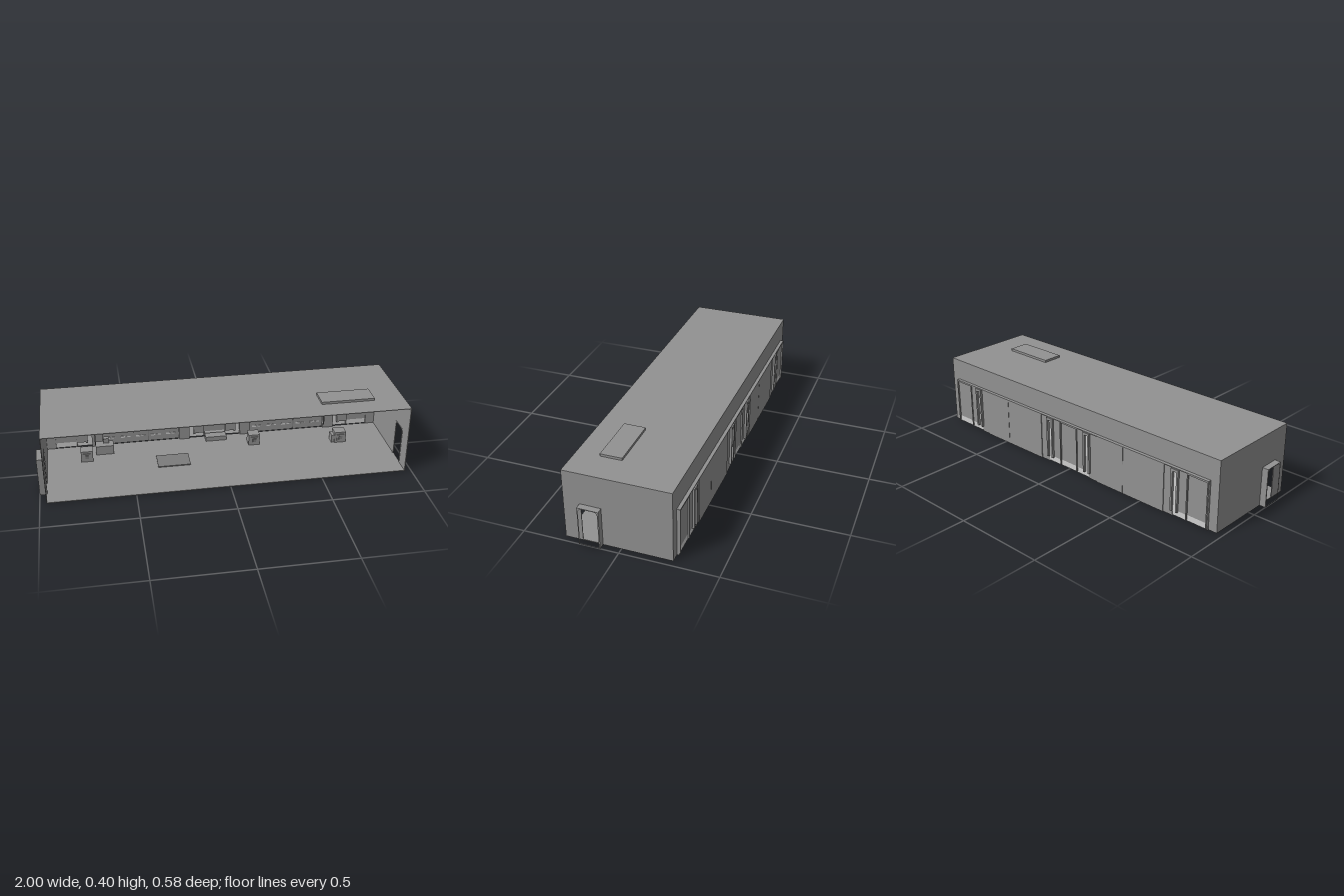
import * as THREE from 'three';

const mat = (name, color) => {
  const m = new THREE.MeshStandardMaterial({ color });
  m.name = name;
  return m;
};

export function createModel() {
  const root = new THREE.Group();
  root.name = 'hall';
  const grey = mat('wall grey', 0x929292);
  const dark = mat('fixture grey', 0x7c7c7c);
  const pale = mat('pale glass', 0xd0d0d0);

  // Box given by its limits on each axis
  const box = (name, m, x0, x1, y0, y1, z0, z1, parent = root) => {
    const mesh = new THREE.Mesh(new THREE.BoxGeometry(x1 - x0, y1 - y0, z1 - z0), m);
    mesh.position.set((x0 + x1) / 2, (y0 + y1) / 2, (z0 + z1) / 2);
    mesh.name = name;
    parent.add(mesh);
    return mesh;
  };
  const rod = (name, m, a, b, r) => {
    const path = new THREE.LineCurve3(new THREE.Vector3(...a), new THREE.Vector3(...b));
    const mesh = new THREE.Mesh(new THREE.TubeGeometry(path, 1, r, 6), m);
    mesh.name = name;
    root.add(mesh);
  };

  // Shell: floor, ceiling and upper back wall, open at the front
  box('floor', grey, -0.965, 0.965, 0, 0.004, -0.262, 0.29);
  box('ceiling', grey, -0.965, 0.965, 0.382, 0.385, -0.262, 0.29);
  box('upperBackWall', grey, -0.965, 0.965, 0.265, 0.385, -0.262, -0.259);
  for (const s of [-1, 1]) {
    box('backWallEnd', grey, s * 0.94 - 0.025, s * 0.94 + 0.025, 0, 0.265, -0.262, -0.259);
  }

  // Arch outline in (z, y), drawn from the floor up and over
  const arch = (target, half, top, r) => {
    const c = 0.15;
    target.moveTo(c - half, 0.004);
    target.lineTo(c - half, top - r);
    target.quadraticCurveTo(c - half, top, c - half + r, top);
    target.lineTo(c + half - r, top);
    target.quadraticCurveTo(c + half, top, c + half, top - r);
    target.lineTo(c + half, 0.004);
    target.closePath();
    return target;
  };
  // Extrusion of a (z, y) shape along x
  const slab = (name, shape, x0, x1) => {
    const g = new THREE.ExtrudeGeometry(shape, { depth: x1 - x0, bevelEnabled: false, curveSegments: 5 });
    g.rotateY(-Math.PI / 2);
    g.translate(x1, 0, 0);
    const mesh = new THREE.Mesh(g, grey);
    mesh.name = name;
    root.add(mesh);
  };

  // End walls with arched doorways and their projecting frames
  for (const s of [-1, 1]) {
    const wall = new THREE.Shape([[-0.262, 0], [0.29, 0], [0.29, 0.385], [-0.262, 0.385]]
      .map((p) => new THREE.Vector2(...p)));
    wall.holes.push(arch(new THREE.Path(), 0.049, 0.209, 0.022));
    slab('endWall', wall, s * 0.964 - 0.002, s * 0.964 + 0.002);
    const frame = new THREE.Shape();
    frame.moveTo(0.095, 0);
    frame.lineTo(0.095, 0.212);
    frame.lineTo(0.205, 0.213);
    frame.lineTo(0.205, 0);
    frame.closePath();
    frame.holes.push(arch(new THREE.Path(), 0.049, 0.209, 0.022));
    slab('doorFrame', frame, s * 0.98 - 0.02, s * 0.98 + 0.02);
  }

  // Recessed back bays
  const zb = -0.275;
  box('bayLedge', grey, -0.915, 0.915, 0.262, 0.266, -0.28, -0.259);
  for (const s of [-1, 1]) {
    box('baySide', grey, s * 0.915 - 0.002, s * 0.915 + 0.002, 0, 0.265, zb, -0.259);
  }

  // Doors with a raised frame and a pale sill below
  for (const x of [-0.853, 0, 0.853]) {
    box('door', grey, x - 0.062, x + 0.062, 0.036, 0.262, -0.272, -0.263);
    for (const s of [-1, 1]) {
      box('doorJamb', grey, x + s * 0.06 - 0.003, x + s * 0.06 + 0.003, 0.01, 0.262, -0.28, -0.258);
    }
    box('doorHead', grey, x - 0.062, x + 0.062, 0.256, 0.262, -0.279, -0.258);
    box('sill', pale, x - 0.06, x + 0.06, 0.004, 0.036, -0.272, -0.266);
  }

  // Columns beside narrow panes
  for (const x of [-0.72, -0.135, 0.135, 0.72]) {
    const s = x < 0 ? -1 : 1;
    const toDoor = Math.abs(x) > 0.5 ? s : -s;
    for (const side of [-1, 1]) {
      const c = x + side * 0.043;
      box('column', grey, c - 0.03, c + 0.03, side === toDoor ? 0.036 : 0, 0.262, zb, -0.25);
      const p = x + side * 0.017;
      box('post', grey, p - 0.005, p + 0.005, 0.03, 0.262, -0.287, -0.25);
    }
    box('pane', pale, x - 0.013, x + 0.013, 0.004, 0.25, -0.274, -0.268);
    box('paneHead', grey, x - 0.02, x + 0.02, 0.248, 0.262, -0.287, -0.255);
    const c = x + toDoor * 0.043;
    box('columnFoot', pale, c - 0.03, c + 0.03, 0.004, 0.036, -0.274, -0.268);
  }

  // Wide window bays with slatted markings
  for (const [x0, x1] of [[-0.65, -0.205], [0.205, 0.65]]) {
    const mid = x0 < 0 ? -0.385 : 0.47;
    box('bayPanel', grey, x0, mid - 0.001, 0, 0.262, -0.279, -0.272);
    box('bayPanel', grey, mid + 0.001, x1, 0, 0.262, -0.279, -0.272);
    box('bayMullion', dark, mid - 0.002, mid + 0.002, 0, 0.262, -0.277, -0.268);
    for (let i = 0; i < 5; i++) {
      const x = x0 + 0.02 + i * 0.087;
      const mark = (dx, w, y0, y1) =>
        box('slat', pale, x + dx, x + dx + w, y0, y1, -0.273, -0.2695);
      mark(0, 0.055, 0.236, 0.25);
      mark(0.045, 0.01, 0.1, 0.145);
      for (let k = 0; k < 4; k++) {
        mark(0.004, 0.013, 0.165 + k * 0.016, 0.174 + k * 0.016);
        mark(0.021, 0.013, 0.165 + k * 0.016, 0.174 + k * 0.016);
        mark(0.04, 0.016, 0.155 + k * 0.018, 0.162 + k * 0.018);
      }
      mark(0.0, 0.024, 0.033, 0.043);
      mark(0.032, 0.024, 0.035, 0.041);
    }
  }

  // Floor crates with framed fronts
  for (const [x, z, w] of [[-0.742, -0.085, 0.066], [0.207, -0.116, 0.064], [0.7, -0.065, 0.066]]) {
    const h = w / 2;
    box('crate', grey, x - h, x + h, 0.004, 0.068, z - 0.06, z);
    box('crateFrame', grey, x - 0.02, x + 0.02, 0.018, 0.056, z, z + 0.005);
    box('crateHatch', dark, x - 0.01, x + 0.01, 0.027, 0.047, z + 0.005, z + 0.008);
  }
  box('crateStep', grey, 0.65, 0.67, 0.004, 0.05, -0.12, -0.07);
  // Console with a raised back
  box('console', grey, -0.69, -0.59, 0.004, 0.056, -0.21, -0.15);
  box('consoleBack', grey, -0.645, -0.615, 0.056, 0.084, -0.21, -0.185);
  // Low step and floor plate
  box('step', grey, -0.06, 0.06, 0.004, 0.03, -0.25, -0.2);
  box('floorPlate', dark, -0.36, -0.18, 0.004, 0.009, -0.08, 0.04);

  // Tapered ceiling light trays
  for (const x of [-0.56, 0.02, 0.555]) {
    const g = new THREE.CylinderGeometry(0.5, 0.46, 0.014, 4, 1).rotateY(Math.PI / 4);
    g.scale(0.29 * Math.SQRT2, 1, 0.12 * Math.SQRT2);
    const tray = new THREE.Mesh(g.toNonIndexed(), dark);
    tray.geometry.computeVertexNormals();
    tray.position.set(x, 0.375, 0.1);
    tray.name = 'lightTray';
    root.add(tray);
  }

  // Hanging units with crossed braces and thin drop rods
  for (const [x, y] of [[-0.58, 0.342], [0.655, 0.352]]) {
    box('hangingUnit', dark, x - 0.118, x + 0.118, y, 0.382, 0.055, 0.165);
    for (const z of [0.075, 0.145]) {
      for (let i = 0; i < 3; i++) {
        const a = x - 0.1 + i * 0.066;
        rod('brace', dark, [a, y, z], [a + 0.05, y - 0.022, z], 0.003);
        rod('brace', dark, [a + 0.066, y, z], [a + 0.016, y - 0.022, z], 0.003);
      }
      rod('braceRail', dark, [x - 0.07, y - 0.022, z], [x + 0.07, y - 0.022, z], 0.003);
    }
    rod('dropRod', dark, [x - 0.112, y, 0.11], [x - 0.112, y - 0.122, 0.11], 0.003);
    rod('dropRod', dark, [x + 0.09, y, 0.11], [x + 0.09, y - 0.065, 0.11], 0.003);
  }

  // Roof vent
  box('roofVent', grey, 0.51, 0.8, 0.384, 0.398, 0.052, 0.167);
  return root;
}
